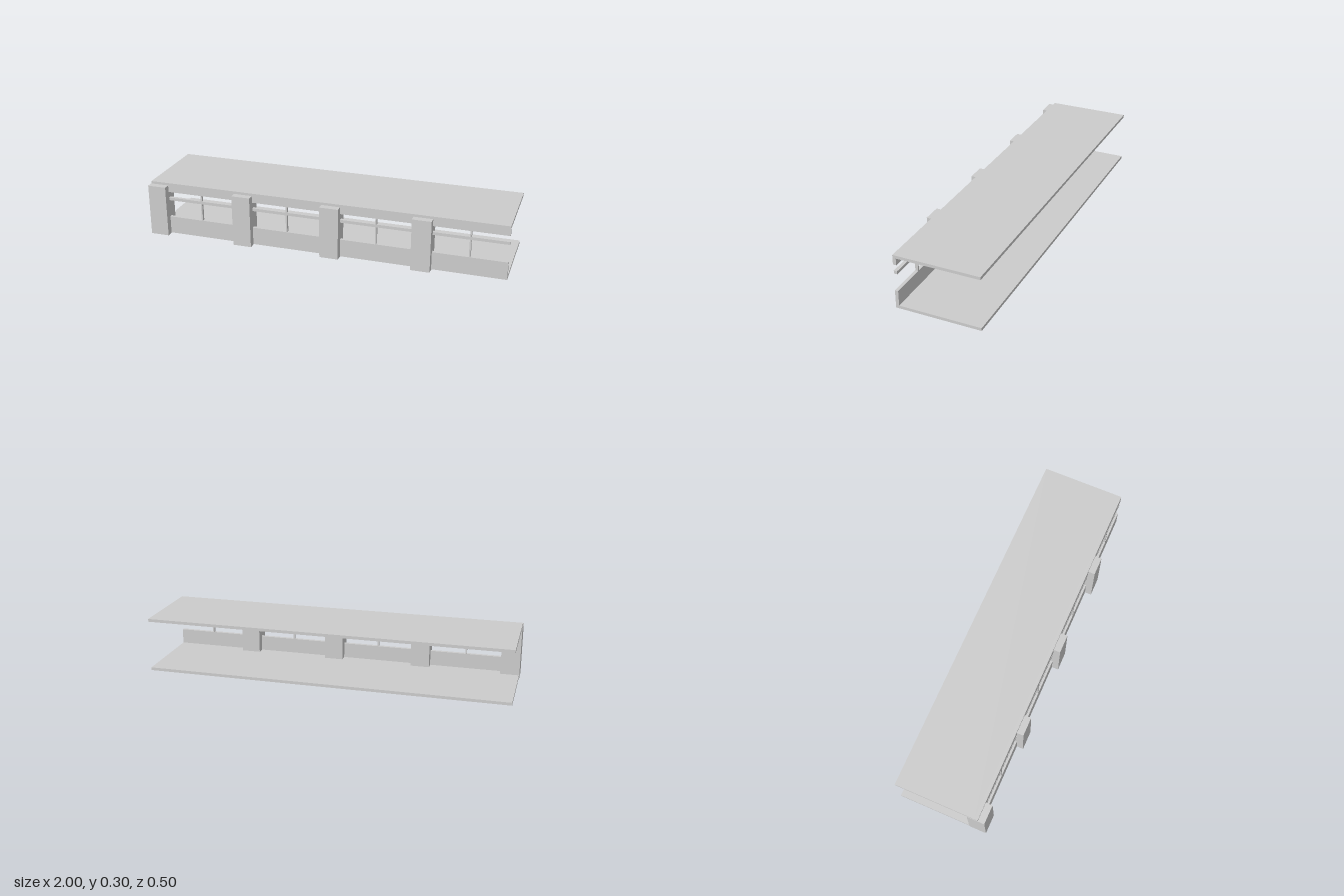
import * as THREE from 'three';

export function createModel() {
  const model = new THREE.Group();
  model.name = 'galleryCorridor';
  const material = new THREE.MeshStandardMaterial({ color: 0xcccccc, flatShading: true });

  // Box given by its extents on each axis
  function block(name, [x0, x1], [y0, y1], [z0, z1]) {
    const mesh = new THREE.Mesh(new THREE.BoxGeometry(x1 - x0, y1 - y0, z1 - z0), material);
    mesh.position.set((x0 + x1) / 2, (y0 + y1) / 2, (z0 + z1) / 2);
    mesh.name = name;
    model.add(mesh);
  }

  const length = [-0.998, 1];
  const wall = [0.195, 0.213];

  // Floor and roof slabs, running back from the facade
  block('floor', length, [0.003, 0.019], [-0.25, wall[0]]);
  block('roof', length, [0.287, 0.303], [-0.25, wall[0]]);

  // Facade: low wall, header beam and window rail
  block('lowWall', length, [0.003, 0.102], wall);
  block('headerBeam', length, [0.25, 0.303], wall);
  block('windowRail', length, [0.2, 0.216], [0.193, 0.211]);

  // Four bays, each with a pillar and a thin window mullion
  for (let i = 0; i < 4; i++) {
    const x = -1 + i * 0.5;
    block('pillar', [x, x + 0.104], [0, 0.289], [0.153, 0.25]);
    block('mullion', [x + 0.297, x + 0.305], [0.102, 0.25], [0.196, 0.212]);
  }

  return model;
}
